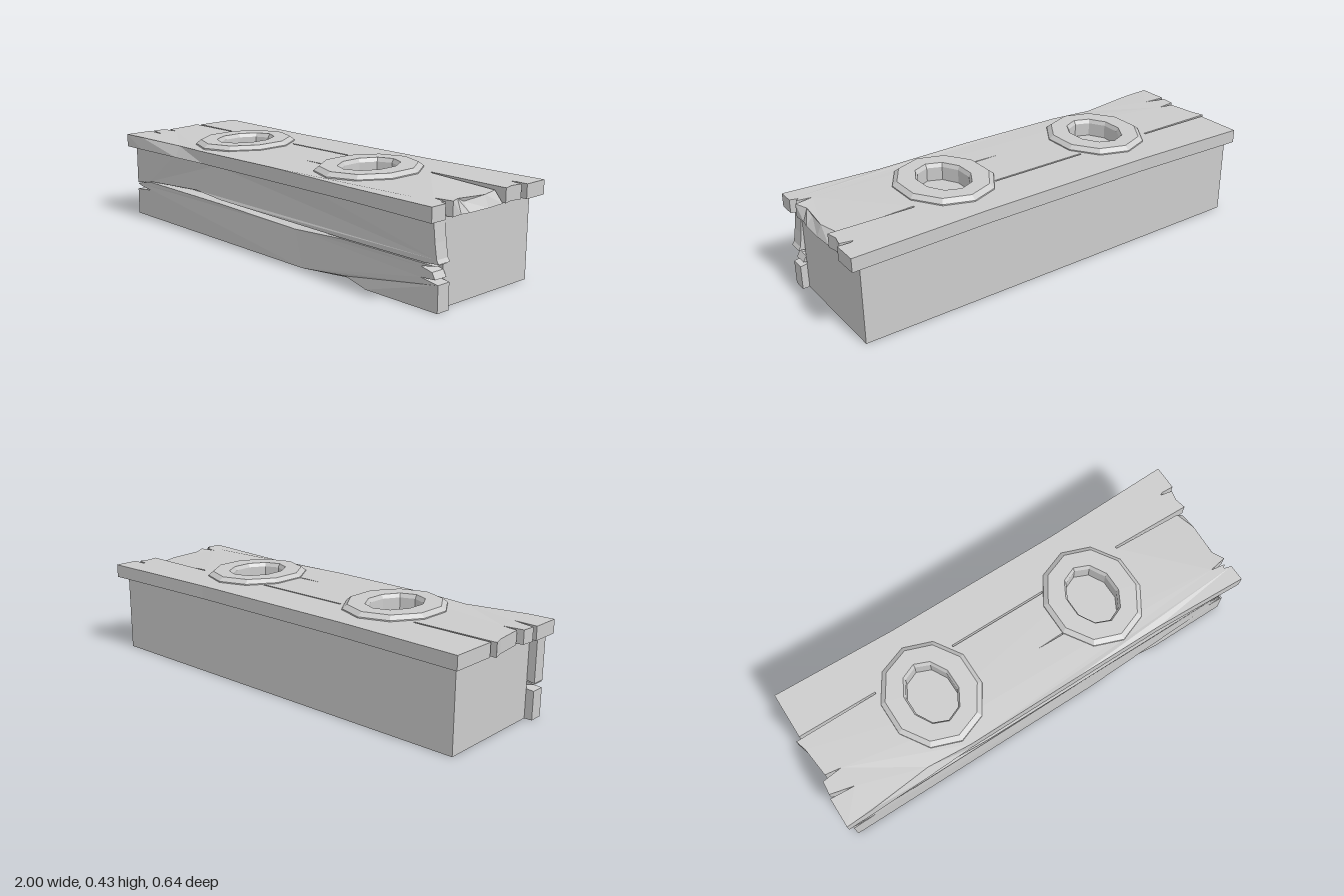
import * as THREE from 'three';

const mat = new THREE.MeshStandardMaterial({ color: 0xcccccc, flatShading: true, side: THREE.DoubleSide });

function addMesh(parent, name, geometry) {
  const mesh = new THREE.Mesh(geometry, mat);
  mesh.name = name;
  parent.add(mesh);
  return mesh;
}

const toPath = (pts, Type) => new Type(pts.map(([u, v]) => new THREE.Vector2(u, v)));

// Thick board from an outline; an outline point may carry [du, dv, dw] to chip its outer corner
function board(points, thickness, holes = []) {
  const shape = toPath(points, THREE.Shape);
  shape.holes = holes.map((h) => toPath(h, THREE.Path));
  const geo = new THREE.ExtrudeGeometry(shape, { depth: thickness, bevelEnabled: false });
  const pos = geo.attributes.position;
  const chipped = points.filter((p) => p[2]);
  for (let i = 0; i < pos.count; i++) {
    const x = pos.getX(i), y = pos.getY(i), z = pos.getZ(i);
    if (z < thickness / 2) continue;
    const hit = chipped.find(([u, v]) => Math.hypot(u - x, v - y) < 1e-4);
    if (hit) pos.setXYZ(i, x + hit[2][0], y + hit[2][1], z + hit[2][2]);
  }
  geo.computeVertexNormals();
  return geo;
}

// Ten-sided oval in the ground plane
const SIDES = 10;
function oval(rx, rz, cx = 0, cv = 0) {
  return Array.from({ length: SIDES }, (_, i) => {
    const a = (i / SIDES) * Math.PI * 2;
    return [cx + Math.sin(a) * rx, cv + Math.cos(a) * rz];
  });
}

// Bevelled rim that also lines the opening
function rimGeometry() {
  const rings = [[0.215, 0.243, 0.4], [0.213, 0.241, 0.412], [0.193, 0.218, 0.429],
    [0.113, 0.146, 0.429], [0.104, 0.136, 0.412], [0.104, 0.136, 0.348]];
  const verts = [], index = [];
  rings.forEach(([rx, rz, y]) => oval(rx, rz).forEach(([x, z]) => verts.push(x, y - z * 0.012, z)));
  for (let r = 0; r < rings.length - 1; r++) {
    for (let i = 0; i < SIDES; i++) {
      const j = (i + 1) % SIDES;
      const a = r * SIDES + i, b = r * SIDES + j, c = a + SIDES, d = b + SIDES;
      index.push(a, b, d, a, d, c);
    }
  }
  const geo = new THREE.BufferGeometry();
  geo.setAttribute('position', new THREE.Float32BufferAttribute(verts, 3));
  geo.setIndex(index);
  geo.computeVertexNormals();
  return geo;
}

export function createModel() {
  const group = new THREE.Group();
  group.name = 'plankBench';

  // Solid body
  addMesh(group, 'body', new THREE.BoxGeometry(1.91, 0.35, 0.505).translate(0, 0.175, -0.04));

  // Seat boards: outline in (x, -z), with split ends and open seams
  const seatOutline = [
    // front edge, left to right
    [-1, -0.318], [-0.88, -0.316, [0, 0.003, 0]], [-0.6, -0.308, [0, 0.024, -0.008]],
    [-0.4, -0.3, [0, 0, -0.004]], [0.1, -0.3], [0.55, -0.3, [0, 0, -0.006]], [0.985, -0.318],
    // right end
    [0.985, -0.245], [0.95, -0.235], [0.965, -0.222], [0.9, -0.212], [0.98, -0.198],
    [0.975, -0.145, [-0.02, 0, -0.004]], [0.982, -0.105, [-0.03, 0, -0.022]],
    [0.985, 0, [-0.02, 0, -0.012]], [0.98, 0.092, [-0.04, 0, -0.014]],
    [0.61, 0.1], [0.61, 0.109], [0.985, 0.102], [0.975, 0.15],
    [0.985, 0.197], [0.93, 0.208], [0.945, 0.215], [1, 0.213],
    // back edge, right to left
    [1, 0.324], [0.4, 0.306], [-0.1, 0.306], [-0.42, 0.306], [-0.98, 0.324],
    // left end
    [-0.98, 0.112], [-0.62, 0.108], [-0.62, 0.1], [-1, 0.1], [-0.985, 0.05],
    [-0.97, -0.085], [-0.9, -0.095], [-0.99, -0.105], [-0.995, -0.165],
    [-0.89, -0.19], [-1, -0.183],
  ];
  const holes = [-0.425, 0.39].map((x) => oval(0.125, 0.158, x, -0.028));
  holes.push([[-0.24, 0.101], [0.22, 0.1], [0.22, 0.108], [-0.24, 0.109]]);
  holes.push([[0.06, -0.104], [0.2, -0.107], [0.2, -0.1]]);
  const seat = board(seatOutline, 0.06, holes).rotateX(-Math.PI / 2).translate(0, 0.348, 0);
  const p = seat.attributes.position;
  for (let i = 0; i < p.count; i++) p.setY(i, p.getY(i) - p.getZ(i) * 0.009);
  addMesh(group, 'seatBoards', seat);

  // Rims around the two openings
  [-0.425, 0.39].forEach((x, i) => {
    addMesh(group, i ? 'leftRim' : 'rightRim', rimGeometry()).position.set(x, 0, 0.028);
  });

  // Front boards: outline in (x, y), meeting at a worn seam
  const lower = [
    [-0.99, 0], [0.25, 0], [0.5, 0, [0, 0.025, -0.006]], [0.62, 0], [0.985, 0],
    [0.985, 0.108], [0.9, 0.12], [0.97, 0.124], [0.955, 0.15], [0.9, 0.162], [0.97, 0.175],
    [0.49, 0.176], [0.2, 0.176, [0, -0.02, -0.006]], [-0.3, 0.176, [0, -0.005, 0]],
    [-0.88, 0.176], [-0.99, 0.153], [-0.96, 0.145], [-0.88, 0.135], [-0.99, 0.125],
  ];
  const upper = [
    [-0.88, 0.179], [-0.5, 0.181, [0, 0.02, -0.006]], [-0.3, 0.181, [0, 0.008, 0]],
    [0.49, 0.179], [0.92, 0.179], [0.985, 0.185], [0.975, 0.2], [0.965, 0.26], [0.955, 0.348],
    [0.3, 0.348, [0, -0.004, 0]], [-0.35, 0.348, [0, -0.01, -0.012]], [-0.65, 0.348],
    [-0.99, 0.348], [-0.99, 0.158],
  ];
  addMesh(group, 'lowerFrontBoard', board(lower, 0.062).translate(0, 0, 0.211));
  addMesh(group, 'upperFrontBoard', board(upper, 0.062).translate(0, 0, 0.211));

  return group;
}
